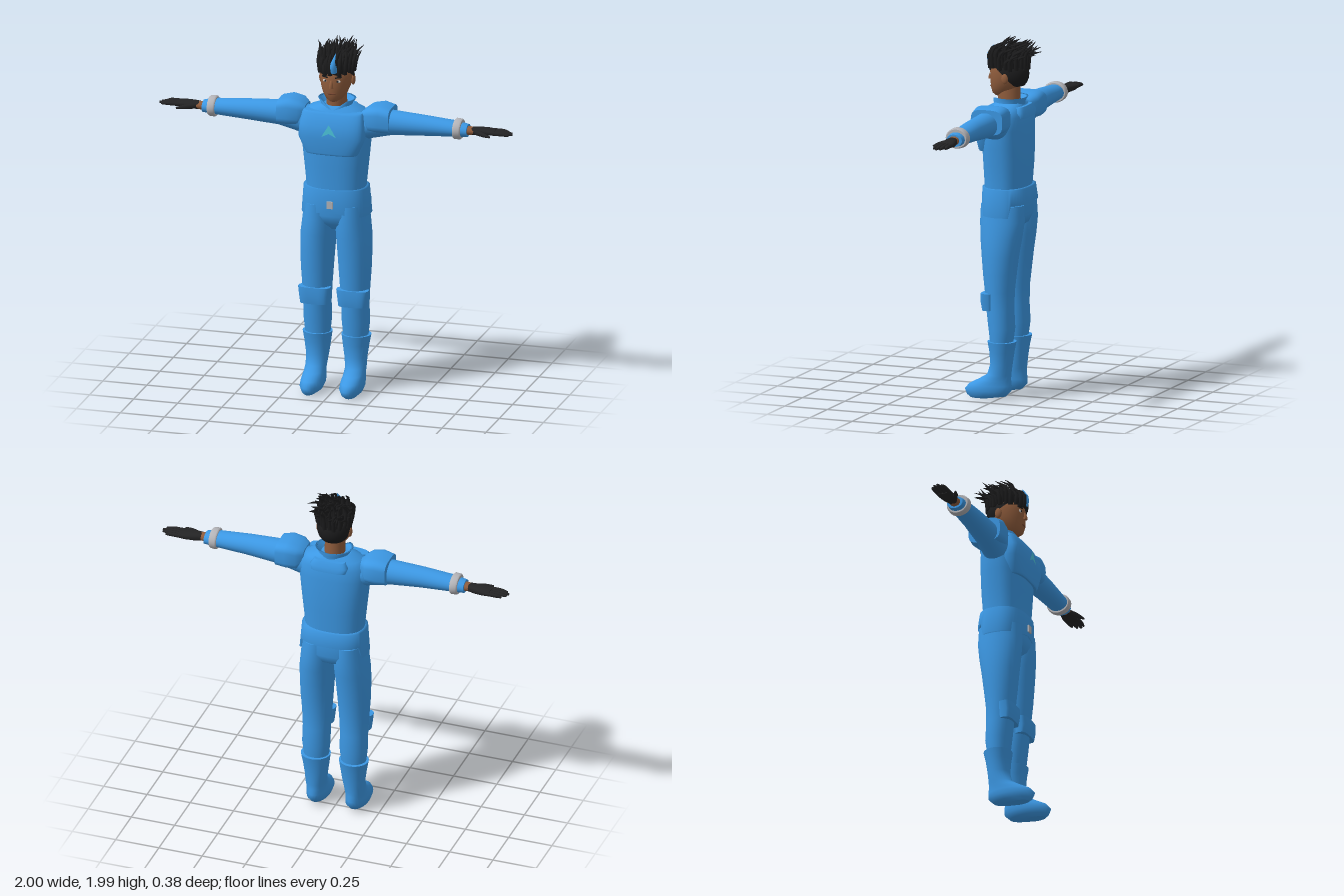
import * as THREE from 'three';

const mat = (name, color, double) => {
  const m = new THREE.MeshStandardMaterial({ color });
  m.name = name;
  if (double) m.side = THREE.DoubleSide;
  return m;
};
const V = (x, y, z) => new THREE.Vector3(x, y, z);

// Surface through closed rings of points, with flat end caps
function skin(rings, capped = true) {
  const n = rings[0].length, pos = [], idx = [];
  rings.forEach(r => r.forEach(p => pos.push(p.x, p.y, p.z)));
  for (let i = 0; i < rings.length - 1; i++) {
    for (let j = 0; j < n; j++) {
      const a = i * n + j, b = i * n + (j + 1) % n;
      idx.push(a, a + n, b, b, a + n, b + n);
    }
  }
  if (capped) {
    [rings[0], rings[rings.length - 1]].forEach((r, end) => {
      const base = pos.length / 3;
      const mid = r.reduce((s, p) => s.add(p), V(0, 0, 0)).divideScalar(n);
      [...r, mid].forEach(p => pos.push(p.x, p.y, p.z));
      for (let j = 0; j < n; j++) {
        const a = base + j, b = base + (j + 1) % n;
        idx.push(base + n, ...(end ? [b, a] : [a, b]));
      }
    });
  }
  const g = new THREE.BufferGeometry();
  g.setAttribute('position', new THREE.Float32BufferAttribute(pos, 3));
  g.setIndex(idx);
  g.computeVertexNormals();
  return g;
}

// One superellipse ring inside bounds; axis y: [y, x0, x1, z0, z1], axis x: [x, z0, z1, y0, y1]
function ring([t, a0, a1, b0, b1], axis = 'y', power = 2, n = 28) {
  return Array.from({ length: n }, (_, j) => {
    const u = j / n * Math.PI * 2, e = 2 / power;
    const c = Math.sign(Math.cos(u)) * Math.abs(Math.cos(u)) ** e;
    const s = Math.sign(Math.sin(u)) * Math.abs(Math.sin(u)) ** e;
    const a = (a0 + a1) / 2 + c * (a1 - a0) / 2, b = (b0 + b1) / 2 + s * (b1 - b0) / 2;
    return axis === 'y' ? V(a, t, b) : V(t, b, a);
  });
}
const loft = (rows, axis, power, n) => skin(rows.map(r => ring(r, axis, power, n)));
// Rows symmetric in x: [y, halfWidth, z0, z1]
const sym = rows => rows.map(([y, w, z0, z1]) => [y, -w, w, z0, z1]);

// Tapered strand along a curve
function strand(points, radii, n = 6, steps = 5) {
  const curve = new THREE.CatmullRomCurve3(points), rings = [];
  for (let i = 0; i <= steps; i++) {
    const k = i / steps * (radii.length - 1), f = Math.min(Math.floor(k), radii.length - 2);
    const r = THREE.MathUtils.lerp(radii[f], radii[f + 1], k - f);
    const p = curve.getPoint(i / steps), T = curve.getTangent(i / steps);
    const ref = Math.abs(T.x) > 0.8 ? V(0, 0, 1) : V(1, 0, 0);
    const b = ref.clone().cross(T).normalize(), a = T.clone().cross(b);
    rings.push(Array.from({ length: n }, (_, j) => {
      const u = j / n * Math.PI * 2;
      return p.clone().addScaledVector(a, r * Math.cos(u)).addScaledVector(b, r * Math.sin(u));
    }));
  }
  return skin(rings);
}

function mirrored(geo) {
  const g = geo.clone().scale(-1, 1, 1), ix = g.index.array;
  for (let i = 0; i < ix.length; i += 3) [ix[i], ix[i + 1]] = [ix[i + 1], ix[i]];
  g.computeVertexNormals();
  return g;
}
const ball = (x, y, z, rx, ry, rz) =>
  new THREE.SphereGeometry(1, 14, 10).scale(rx, ry, rz).translate(x, y, z);

export function createModel() {
  const model = new THREE.Group();
  model.name = 'figure';
  const suit = mat('suit blue', 0x3c98e4, true), skinTone = mat('skin brown', 0x8f5c3c);
  const hair = mat('hair black', 0x1b1b1c, true), glove = mat('glove black', 0x242425);
  const grey = mat('cuff grey', 0xb4b4b8), patch = mat('patch cyan', 0x4cc4dc, true);
  const white = mat('eye white', 0xd8d2cc), lip = mat('lip brown', 0x74452f);

  const add = (name, geo, m) => {
    const mesh = new THREE.Mesh(geo, m);
    mesh.name = name;
    model.add(mesh);
  };
  const pair = (name, geo, m) => {
    add(name + 'Left', geo, m);
    add(name + 'Right', mirrored(geo), m);
  };

  // Torso and hips
  add('torso', loft(sym([[1.1, .165, -.12, .11], [1.18, .165, -.122, .11], [1.3, .177, -.13, .116],
    [1.4, .188, -.132, .12], [1.5, .198, -.13, .12], [1.57, .192, -.125, .105],
    [1.61, .155, -.11, .08], [1.635, .09, -.09, .06]]), 'y', 2.4, 36), suit);
  add('hips', loft(sym([[.93, .04, -.05, .05], [.97, .15, -.11, .095], [1.02, .186, -.132, .115],
    [1.1, .178, -.13, .112]]), 'y', 2.3), suit);
  add('chestPlate', loft(sym([[1.375, .145, .02, .128], [1.385, .15, .02, .134], [1.47, .188, .02, .142],
    [1.54, .182, .02, .138], [1.6, .172, .02, .108], [1.61, .165, .02, .098]]), 'y', 3), suit);
  add('backYoke', loft(sym([[1.56, .1, -.137, -.05], [1.59, .11, -.135, -.04], [1.62, .09, -.118, -.04]]),
    'y', 4), suit);

  // Plain triangular chest patch
  const tri = new THREE.Shape([[-.042, 1.485], [0, 1.505], [.042, 1.485], [0, 1.555]]
    .map(([x, y]) => new THREE.Vector2(x, y)));
  add('chestPatch', new THREE.ShapeGeometry(tri).rotateX(-.03).translate(0, 0, .191), patch);

  // Belt with a raised rear edge
  const beltBottom = p => p.z < -.08 ? 1.09 : 1.02 + .03 * Math.max(0, 1 - Math.abs(p.x) / .15) * (p.z > 0);
  const low = ring([1.02, -.192, .192, -.148, .122], 'y', 2.5, 48);
  low.forEach(p => { p.y = beltBottom(p); });
  const inner = low.map(p => V(p.x * .9, p.y, p.z * .9));
  add('belt', skin([inner, low, ring([1.172, -.18, .18, -.138, .12], 'y', 2.5, 48),
    ring([1.175, -.16, .16, -.118, .1], 'y', 2.5, 48)], false), suit);
  add('buckle', new THREE.BoxGeometry(.034, .04, .012).translate(0, 1.09, .124), grey);

  // Collar with a notch at the front
  const rim = (y, w, z0, z1) => ring([y, -w, w, z0, z1]).map(p => {
    if (y > 1.63) p.y -= .05 * Math.max(0, 1 - Math.abs(p.x) / .07) * (p.z > 0);
    return p;
  });
  add('collar', skin([rim(1.6, .1, -.1, .08), rim(1.64, .085, -.098, .07), rim(1.665, .105, -.112, .075),
    rim(1.662, .09, -.1, .062), rim(1.61, .055, -.07, .05)], false), suit);

  // Legs, knee pads and boots
  pair('leg', loft([[.3, .04, .175, -.07, .05], [.4, .03, .186, -.083, .062], [.5, .03, .185, -.078, .074],
    [.6, .024, .19, -.08, .083], [.7, .017, .197, -.092, .094], [.8, .01, .2, -.105, .103],
    [.9, .002, .198, -.122, .113], [.99, -.002, .187, -.134, .118], [1.08, 0, .178, -.13, .115]]), suit);
  pair('kneePad', loft([[.5, .029, .187, .015, .086], [.545, .025, .192, .012, .094],
    [.595, .018, .198, .012, .092]], 'y', 3.2), suit);
  pair('boot', loft([[.005, .085, .145, .06, .17], [.02, .06, .165, -.035, .19], [.05, .048, .176, -.066, .203],
    [.08, .05, .174, -.068, .178], [.11, .054, .17, -.064, .12], [.14, .054, .17, -.064, .07],
    [.2, .045, .172, -.07, .052], [.27, .035, .182, -.08, .057], [.325, .028, .192, -.092, .066]]), suit);

  // Arms, shoulder pads and cuffs
  pair('sleeve', loft([[.1, -.08, .08, 1.43, 1.6], [.2, -.078, .075, 1.457, 1.62], [.32, -.07, .07, 1.487, 1.625],
    [.5, -.056, .066, 1.501, 1.615], [.68, -.05, .06, 1.513, 1.6], [.75, -.042, .05, 1.518, 1.586]], 'x'), suit);
  pair('shoulderPad', loft([[.165, -.065, .06, 1.54, 1.62], [.2, -.1, .085, 1.505, 1.645],
    [.26, -.11, .092, 1.503, 1.656], [.318, -.1, .086, 1.505, 1.642]], 'x', 3.5), suit);
  pair('cuff', loft([[.675, -.056, .066, 1.503, 1.608], [.682, -.062, .072, 1.499, 1.615],
    [.71, -.06, .07, 1.501, 1.613], [.717, -.054, .064, 1.506, 1.608]], 'x'), grey);
  pair('wrist', loft([[.74, -.026, .036, 1.527, 1.578], [.79, -.024, .032, 1.533, 1.573]], 'x'), skinTone);

  // Gloves
  pair('palm', loft([[.772, -.024, .03, 1.532, 1.574], [.81, -.036, .034, 1.531, 1.575],
    [.86, -.047, .036, 1.535, 1.572], [.9, -.046, .034, 1.54, 1.567]], 'x', 2.6), glove);
  [[-.036, .97], [-.015, .993], [.006, 1], [.026, .985]].forEach(([z, end], i) =>
    pair('finger' + (i + 1), strand([V(.88, 1.554, z), V(.94, 1.554, z), V(end, 1.55, z)],
      [.012, .012, .011, .006], 8), glove));
  pair('thumb', strand([V(.79, 1.552, .015), V(.84, 1.549, .045), V(.89, 1.545, .068)],
    [.018, .015, .012, .005], 8), glove);

  // Head and face
  add('neck', loft(sym([[1.6, .058, -.075, .05], [1.72, .054, -.07, .055]])), skinTone);
  add('head', loft(sym([[1.665, .02, .02, .07], [1.68, .045, -.02, .086], [1.71, .067, -.06, .093],
    [1.75, .082, -.09, .096], [1.8, .089, -.105, .098], [1.85, .084, -.1, .085],
    [1.88, .055, -.07, .05]])), skinTone);
  add('nose', strand([V(0, 1.795, .092), V(0, 1.77, .1), V(0, 1.752, .1)], [.006, .011, .013], 8), skinTone);
  add('mouth', ball(0, 1.717, .092, .024, .006, .005), lip);
  pair('ear', ball(.091, 1.775, -.02, .011, .03, .02), skinTone);
  pair('eye', ball(.036, 1.79, .087, .015, .008, .006), white);
  pair('iris', ball(.035, 1.79, .0915, .006, .006, .003), glove);
  pair('eyebrow', new THREE.BoxGeometry(.036, .006, .009).rotateZ(.1).rotateY(.35)
    .translate(.038, 1.812, .087), hair);

  // Hair cap: high hairline in front, low at the nape
  const dome = (u, phi) => V(.097 * Math.sin(phi) * Math.cos(u), 1.79 + .1 * Math.cos(phi),
    -.009 + .112 * Math.sin(phi) * Math.sin(u));
  const capRings = [];
  for (let i = 0; i <= 10; i++) {
    capRings.push(Array.from({ length: 32 }, (_, j) => {
      const u = j / 32 * Math.PI * 2, s = Math.sin(u);
      const edge = s > 0 ? 1.5 - .5 * Math.min(1, s * 1.6) : 1.5 + .75 * Math.min(1, -s * 1.6);
      return dome(u, edge * (1 - i / 10) + .001);
    }));
  }
  add('hairCap', skin(capRings, false), hair);

  // Swept-back spikes spread over the crown
  let seed = 7;
  const rnd = () => (seed = (seed * 16807) % 2147483647) / 2147483647;
  const count = 84;
  for (let i = 0; i < count; i++) {
    const r = dome(i * 2.39996, 1.2 * Math.sqrt((i + .5) / count));
    const tipY = 1.998 - .085 * rnd() - .03 * (i / count);
    const tip = V(r.x * 1.3 + (rnd() - .5) * .05, tipY, r.z * 1.05 - .035 - .055 * rnd());
    const bend = V(r.x * 1.18, THREE.MathUtils.lerp(r.y, tipY, .62), r.z * 1.08 - .004);
    add('hairSpike', strand([r.clone().setY(r.y - .01), bend, tip], [.015, .01, .001], 5), hair);
  }
  add('hairStreak', strand([V(.012, 1.845, .085), V(.012, 1.885, .1), V(.02, 1.945, .075)],
    [.024, .018, .001], 7), suit);

  return model;
}
